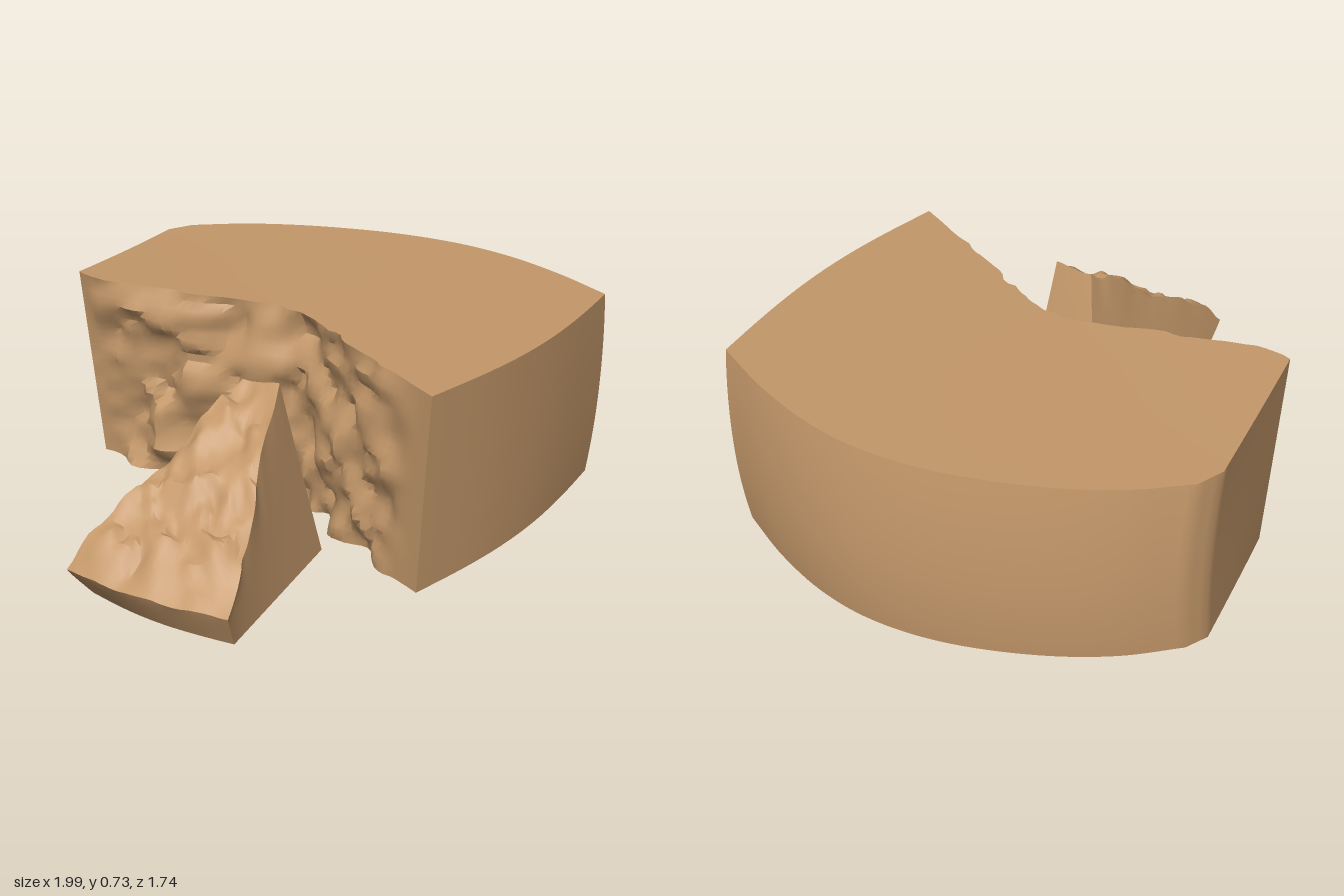
import * as THREE from 'three';
import { toCreasedNormals } from 'three/addons/utils/BufferGeometryUtils.js';

// Seeded smooth value noise, -1..1
const hash = (x, y, z) => {
  const s = Math.sin(x * 127.1 + y * 311.7 + z * 74.7) * 43758.5453;
  return (s - Math.floor(s)) * 2 - 1;
};
const lerp = THREE.MathUtils.lerp;
function noise(x, y, z) {
  const i = [x, y, z].map(Math.floor);
  const [a, b, c] = [x, y, z].map((v, k) => THREE.MathUtils.smoothstep(v - i[k], 0, 1));
  const row = (dy, dz) => lerp(hash(i[0], i[1] + dy, i[2] + dz), hash(i[0] + 1, i[1] + dy, i[2] + dz), a);
  return lerp(lerp(row(0, 0), row(1, 0), b), lerp(row(0, 1), row(1, 1), b), c);
}
const rough = (x, y, z, f) => 0.7 * noise(x * f, y * f, z * f) + 0.4 * noise(x * f * 2.3, y * f * 2.3, z * f * 2.3);

// A subdivided box whose unit coordinates (u, v, w) are moved by a rule
function warpedBox(nu, nv, nw, rule, crease) {
  const g = new THREE.BoxGeometry(1, 1, 1, nu, nv, nw);
  const p = g.attributes.position;
  for (let i = 0; i < p.count; i++) {
    const q = rule(p.getX(i) + 0.5, p.getY(i) + 0.5, p.getZ(i) + 0.5);
    p.setXYZ(i, q.x, q.y, q.z);
  }
  g.deleteAttribute('uv');
  return toCreasedNormals(g, crease);
}
const curve = (pts) => new THREE.CatmullRomCurve3(pts.map(([x, z]) => new THREE.Vector3(x, 0, z)));

// Large curved block: broken inner edge and smooth outer edge, back to front
function blockRule() {
  const inner = curve([[-0.33, -0.67], [-0.26, -0.45], [-0.17, -0.25], [-0.06, -0.05], [0.02, 0.1],
    [-0.01, 0.25], [-0.06, 0.45], [-0.1, 0.65], [-0.14, 0.86]]);
  const outer = curve([[0.36, -0.86], [0.53, -0.73], [0.7, -0.54], [0.87, -0.27], [0.96, -0.03],
    [0.99, 0.18], [0.98, 0.42], [0.94, 0.66]]);
  return (u, v, w) => {
    const a = inner.getPoint(w), b = outer.getPoint(w);
    // rounded outer wall and slightly undercut inner wall
    b.x -= v > 0.4 ? 0.035 * ((v - 0.4) / 0.6) ** 2 : 0.02 * ((0.4 - v) / 0.4) ** 2;
    a.x += 0.08 * (1 - v) * (1 - w) ** 2;
    const q = a.lerp(b, u);
    // end walls
    q.z -= 0.045 * Math.min(u / 0.85, (1 - u) / 0.15) * (1 - w) ** 6;
    q.z += (0.055 * Math.sin(Math.PI * u) - 0.035 * (1 - v)) * w ** 4;
    // top and underside
    const low = 0.045 * q.z * q.z + 0.02 * u * u;
    const high = 0.715 + 0.02 * (1 - u) ** 2 * (1 - w) ** 2 + 0.008 * u * w;
    q.y = lerp(low, high, v);
    // broken surface
    const k = (1 - u) ** 10 * THREE.MathUtils.smoothstep(1 - w, 0.03, 0.2) * Math.min(1, w * 12);
    q.x += 0.06 * k * rough(0, q.y, q.z, 8);
    return q;
  };
}

// Broken-off wedge: four upper and four lower corners, rough sloping top
function wedgeRule() {
  const V = (x, y, z) => new THREE.Vector3(x, y, z);
  const top = [V(-1, 0.15, 0.17), V(-0.35, 0.63, 0.24), V(-0.8, 0.14, 0.7), V(-0.31, 0.64, 0.37)];
  const base = [V(-0.9, 0.03, 0.16), V(-0.22, 0.02, 0.09), V(-0.75, 0.02, 0.67), V(-0.15, 0.01, 0.4)];
  const quad = (c, u, w) => c[0].clone().lerp(c[1], u).lerp(c[2].clone().lerp(c[3], u), w);
  return (u, v, w) => {
    const q = quad(base, u, w).lerp(quad(top, u, w), v);
    q.x -= 0.03 * Math.sin(Math.PI * w) * (1 - u) ** 2;
    const edge = Math.min(1, 6 * Math.min(u, 1 - u) + 0.15);
    const r = v ** 6 * edge;
    q.y += r * (0.045 * rough(q.x, 3, q.z, 11) + 0.04 * (1 - u) * (1 - w));
    q.x += r * 0.015 * noise(q.x * 14, 7, q.z * 14);
    return q;
  };
}

export function createModel() {
  const group = new THREE.Group();
  const clay = new THREE.MeshStandardMaterial({ color: 0xc4986a });
  clay.name = 'tan clay';
  const add = (name, geometry) => {
    const mesh = new THREE.Mesh(geometry, clay);
    mesh.name = name;
    group.add(mesh);
  };
  add('curvedBlock', warpedBox(20, 26, 56, blockRule(), 0.6));
  add('brokenWedge', warpedBox(30, 14, 24, wedgeRule(), 0.6));
  return group;
}
